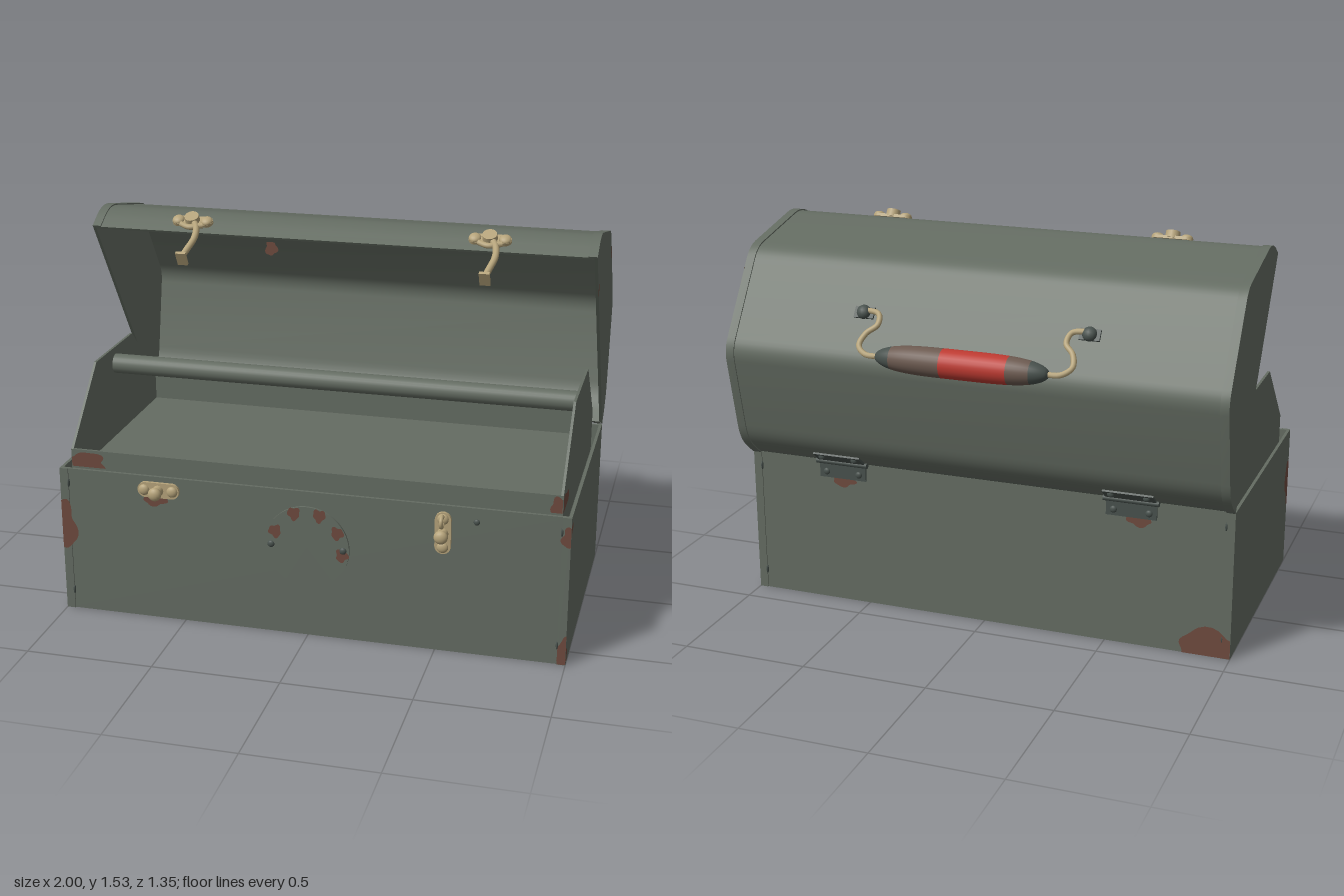
import * as THREE from 'three';
import { toCreasedNormals } from 'three/addons/utils/BufferGeometryUtils.js';

const mat = (name, color, side = THREE.FrontSide) => {
  const m = new THREE.MeshStandardMaterial({ color, side });
  m.name = name;
  return m;
};

export function createModel() {
  const green = mat('greenPaint', 0x646c62);
  const dark = mat('darkSteel', 0x48514d);
  const brass = mat('brass', 0xb5a37a);
  const rust = mat('rust', 0x6e4a3e, THREE.DoubleSide);
  const red = mat('redGrip', 0xbd3a31);
  const worn = mat('wornGrip', 0x6c5a50);
  const root = new THREE.Group();
  root.name = 'toolbox';

  const add = (name, geo, m, pos = [0, 0, 0], parent = root) => {
    const mesh = new THREE.Mesh(geo, m);
    mesh.name = name;
    mesh.position.set(...pos);
    parent.add(mesh);
    return mesh;
  };
  const group = (name, pos, rx = 0) => {
    const g = new THREE.Group();
    g.name = name;
    g.position.set(...pos);
    g.rotation.x = rx;
    root.add(g);
    return g;
  };
  const box = (w, h, d) => new THREE.BoxGeometry(w, h, d);
  const dome = (r, squash = 0.6) => new THREE.SphereGeometry(r, 16, 10).scale(1, 1, squash);
  const tube = (pts, r) => new THREE.TubeGeometry(
    new THREE.CatmullRomCurve3(pts.map(p => new THREE.Vector3(...p))), 32, r, 10);
  // Extrude a [z, y] outline along x
  const slab = (pts, x0, x1) => {
    const s = new THREE.Shape(pts.map(([z, y]) => new THREE.Vector2(-z, y)));
    const g = new THREE.ExtrudeGeometry(s, { depth: x1 - x0, bevelEnabled: false });
    return toCreasedNormals(g.rotateY(Math.PI / 2).translate(x0, 0, 0), 0.5);
  };
  // Band following a path, between two inward offsets
  const ribbon = (pts, a, b) => {
    const off = d => pts.map(([z, y], i) => {
      const p = pts[Math.max(i - 1, 0)], q = pts[Math.min(i + 1, pts.length - 1)];
      const l = Math.hypot(q[0] - p[0], q[1] - p[1]);
      return [z - d * (q[1] - p[1]) / l, y + d * (q[0] - p[0]) / l];
    });
    return [...off(a), ...off(b).reverse()];
  };

  // Body: floor, four walls and end flanges
  add('bodyFloor', box(1.98, 0.01, 0.99), green, [0, 0.008, 0.107]);
  add('bodyFront', box(1.98, 0.6, 0.012), green, [0, 0.3, 0.601]);
  add('bodyBack', box(1.98, 0.6, 0.012), green, [0, 0.3, -0.387]);
  for (const s of [-1, 1]) {
    add('bodyEnd', box(0.012, 0.6, 1.005), green, [s * 0.994, 0.3, 0.107]);
    for (const z of [0.609, -0.394]) {
      add('bodyFlange', box(0.034, 0.6, 0.006), green, [s * 0.983, 0.3, z]);
      for (const y of [0.08, 0.54])
        add('bodyRivet', dome(0.012).scale(0.4, 1.5, 1), dark, [s * 0.966, y, z]);
    }
  }

  // Lift-out tray with raised ends and a carrying rod
  const trayEnd = [[0.575, 0.5], [0.575, 0.67], [0.305, 0.94], [-0.09, 0.94], [-0.355, 0.67], [-0.355, 0.5]];
  add('trayEnd', slab(trayEnd, 0.952, 0.962), green);
  add('trayEnd', slab(trayEnd, -0.962, -0.952), green);
  add('trayFloor', box(1.91, 0.01, 0.92), green, [0, 0.56, 0.11]);
  add('trayFront', box(1.91, 0.17, 0.01), green, [0, 0.585, 0.57]);
  add('trayBack', box(1.91, 0.17, 0.01), green, [0, 0.585, -0.35]);
  add('trayRod', new THREE.CylinderGeometry(0.04, 0.04, 1.905, 24).rotateZ(Math.PI / 2), green, [0, 0.87, 0.102]);

  // Lid path with rounded corners, from front lip to hinge
  const corners = [[0.158, 1.46], [0.05, 1.525], [-0.345, 1.44], [-0.585, 1.08], [-0.5, 0.68], [-0.402, 0.6]];
  const radii = [0, 0.07, 0.05, 0.05, 0.07, 0];
  const path = [];
  corners.forEach((c, i) => {
    if (!radii[i]) return path.push(c);
    const toward = p => {
      const l = Math.hypot(p[0] - c[0], p[1] - c[1]);
      return new THREE.Vector2(c[0] + (p[0] - c[0]) * radii[i] / l, c[1] + (p[1] - c[1]) * radii[i] / l);
    };
    const curve = new THREE.QuadraticBezierCurve(toward(corners[i - 1]), new THREE.Vector2(...c), toward(corners[i + 1]));
    curve.getPoints(6).forEach(p => path.push([p.x, p.y]));
  });
  add('lidShell', slab(ribbon(path, 0.004, 0.014), -0.988, 0.988), green);
  for (const s of [-1, 1]) {
    const span = (a, b) => s > 0 ? [a, b] : [-b, -a];
    add('lidEnd', slab(path, ...span(0.988, 1)), green);
    add('lidFlange', slab(ribbon(path, -0.001, 0.005), ...span(0.966, 1)), green);
  }

  // Hinges
  for (const x of [-0.6, 0.6]) {
    add('hingePin', new THREE.CylinderGeometry(0.012, 0.012, 0.22, 12).rotateZ(Math.PI / 2), dark, [x, 0.6, -0.405]);
    add('hingeLowerLeaf', box(0.2, 0.07, 0.008), dark, [x, 0.565, -0.398]);
    const leaf = add('hingeUpperLeaf', box(0.2, 0.06, 0.008), dark, [x, 0.628, -0.435]);
    leaf.rotation.x = -0.87;
    for (const dx of [-0.07, 0.07]) {
      add('hingeRivet', dome(0.014), dark, [x + dx, 0.555, -0.403]);
      add('hingeRivet', dome(0.014), dark, [x + dx, 0.632, -0.445]);
    }
  }

  // Plate with rounded ends, flat in xy
  const plate = (len, w, t) => {
    const s = new THREE.Shape(), h = len / 2 - w / 2;
    s.absarc(h, 0, w / 2, -Math.PI / 2, Math.PI / 2);
    s.absarc(-h, 0, w / 2, Math.PI / 2, Math.PI * 1.5);
    return new THREE.ExtrudeGeometry(s, { depth: t, bevelEnabled: false, curveSegments: 10 });
  };

  // Lid latches: base, rivets, pivot and curved hook
  for (const x of [-0.592, 0.59]) {
    const g = group('latch', [x, 1.487, 0.117], 0.51);
    add('latchBase', plate(0.165, 0.05, 0.012).rotateX(-Math.PI / 2), brass, [0, 0, 0], g);
    for (const dx of [-0.058, 0.058])
      add('latchRivet', dome(0.024).rotateX(-Math.PI / 2), brass, [dx, 0.012, 0], g);
    add('latchPivot', new THREE.CylinderGeometry(0.028, 0.03, 0.03, 20), brass, [0, 0.02, 0], g);
    add('latchArm', tube([[0, 0.02, 0], [0.028, 0.018, 0.045], [0.035, 0.014, 0.1], [0.022, 0.01, 0.16], [0.012, 0.008, 0.2]], 0.013), brass, [0, 0, 0], g);
    add('latchSpur', tube([[-0.04, 0.016, 0.028], [0, 0.018, 0.045], [0.05, 0.016, 0.03]], 0.011), brass, [0, 0, 0], g);
    add('latchTip', box(0.04, 0.06, 0.012), brass, [0.012, 0.002, 0.205], g);
  }

  // Body catches: one lying, one upright
  for (const [x, y, turn] of [[-0.592, 0.548, 0], [0.525, 0.492, Math.PI / 2]]) {
    const g = group('catch', [x, y, 0.607]);
    g.rotation.z = turn;
    add('catchPlate', plate(0.168, 0.062, 0.012), brass, [0, 0, 0], g);
    for (const dx of [-0.057, 0.057]) add('catchRivet', dome(0.022), brass, [dx, 0, 0.012], g);
    add('catchStem', new THREE.CylinderGeometry(0.018, 0.022, 0.04, 16).rotateX(Math.PI / 2), brass, [0, 0, 0.03], g);
    add('catchKnob', dome(0.027, 0.7), brass, [0, 0, 0.05], g);
  }
  add('catchLoop', new THREE.TorusGeometry(0.02, 0.008, 8, 20).rotateY(Math.PI / 2), brass, [0.525, 0.548, 0.642]);

  // Round cover plate on the front
  add('coverPlate', new THREE.CylinderGeometry(0.166, 0.166, 0.01, 48).rotateX(Math.PI / 2), green, [0, 0.375, 0.611]);
  for (const x of [-0.142, 0.142]) add('coverRivet', dome(0.014), dark, [x, 0.375, 0.616]);
  add('frontRivet', dome(0.012), dark, [0.65, 0.545, 0.607]);

  // Handle: turned grip in coloured sections, wires and mounts
  const grip = (x0, x1, m) => {
    const pts = [];
    for (let i = 0; i <= 10; i++) {
      const x = x0 + (x1 - x0) * i / 10;
      pts.push(new THREE.Vector2(0.056 * Math.sqrt(Math.max(0, 1 - Math.abs(x / 0.345) ** 4)), x));
    }
    add('handleGrip', new THREE.LatheGeometry(pts, 28).rotateZ(-Math.PI / 2), m, [0, 1.13, -0.617]);
  };
  grip(-0.345, -0.275, dark);
  grip(-0.275, -0.19, worn);
  grip(-0.19, 0.07, red);
  grip(0.07, 0.275, worn);
  grip(0.275, 0.345, dark);
  for (const s of [-1, 1]) {
    const wire = [[0.32, -0.617], [0.385, -0.615], [0.422, -0.59], [0.41, -0.55], [0.375, -0.52], [0.385, -0.485], [0.45, -0.476]];
    add('handleWire', tube(wire.map(([x, z]) => [s * x, 1.13 + (z + 0.617) * 0.95, z]), 0.011), brass);
    const m = group('handleMount', [s * 0.45, 1.25, -0.47], -0.96);
    add('mountPlate', box(0.08, 0.012, 0.045), dark, [0, 0, 0], m);
    add('mountDome', dome(0.028, 0.8).rotateX(Math.PI / 2), dark, [0, 0.01, 0], m);
  }

  // Rust patches: wavy outlines clipped to a rectangle
  const blob = (cx, cy, rx, ry, [x0, x1, y0, y1] = [-2, 2, -2, 2]) => {
    const pts = [];
    for (let i = 0; i < 36; i++) {
      const a = i / 36 * Math.PI * 2;
      const r = 1 + 0.14 * Math.sin(3 * a + cx * 9) + 0.1 * Math.sin(5 * a + cy * 7);
      pts.push(new THREE.Vector2(THREE.MathUtils.clamp(cx + rx * r * Math.cos(a), x0, x1),
        THREE.MathUtils.clamp(cy + ry * r * Math.sin(a), y0, y1)));
    }
    return new THREE.ShapeGeometry(new THREE.Shape(pts));
  };
  const face = [-1, 1, 0.002, 0.6];
  for (const [x, y, rx, ry] of [[-1, 0.36, 0.06, 0.1], [1, 0.05, 0.035, 0.06], [1, 0.52, 0.035, 0.04]])
    add('frontRust', blob(x, y, rx, ry, face), rust, [0, 0, 0.6135]);
  add('catchRust', blob(-0.61, 0.505, 0.05, 0.025), rust, [0, 0, 0.6085]);
  for (const [x, y] of [[-0.125, 0.43], [-0.05, 0.51], [0.05, 0.51], [0.12, 0.445], [0.138, 0.355]])
    add('coverRust', blob(x, y, 0.024, 0.026), rust, [0, 0, 0.6175]);
  for (const [x, rx] of [[-0.9, 0.08], [0.95, 0.035]])
    add('trayRust', blob(x, 0.62, rx, 0.04, [-0.96, 0.96, 0.6, 0.669]), rust, [0, 0, 0.577]);
  add('backRust', blob(-0.93, 0.03, 0.14, 0.08, face), rust, [0, 0, -0.3995]);
  for (const x of [-0.63, 0.6]) add('hingeRust', blob(x, 0.52, 0.05, 0.025), rust, [0, 0, -0.3955]);
  // Ends, given as z, y in the plane
  const endRust = (x, z, ...rest) => add('endRust', blob(-z, ...rest).rotateY(Math.PI / 2), rust, [x, 0, 0]);
  endRust(0.9635, 0.52, 0.62, 0.09, 0.04, [-0.575, 0, 0.6, 0.67]);
  endRust(1.001, 0.61, 0.03, 0.025, 0.05, [-0.609, 0, 0.002, 0.6]);
  endRust(1.001, 0.6, 0.555, 0.03, 0.02, [-0.609, 0, 0, 0.6]);
  endRust(-1.001, 0.6, 0.38, 0.05, 0.1, [-0.609, 0, 0, 0.6]);
  endRust(1.001, 0.055, 1.31, 0.012, 0.025);
  endRust(1.001, -0.39, 1.34, 0.012, 0.025);
  add('lidRust', blob(-0.44, 1.255, 0.026, 0.035).rotateX(0), rust, [0, 0, -0.435]).visible = true;
  for (const [x, z, rx, rz] of [[0.53, 0.13, 0.18, 0.14], [-0.4, 0, 0.25, 0.15], [-0.84, -0.3, 0.14, 0.09]])
    add('floorRust', blob(x, -z, rx, rz, [-0.98, 0.98, -0.59, 0.38]).rotateX(-Math.PI / 2), rust, [0, 0.0015, 0]);
  return root;
}
